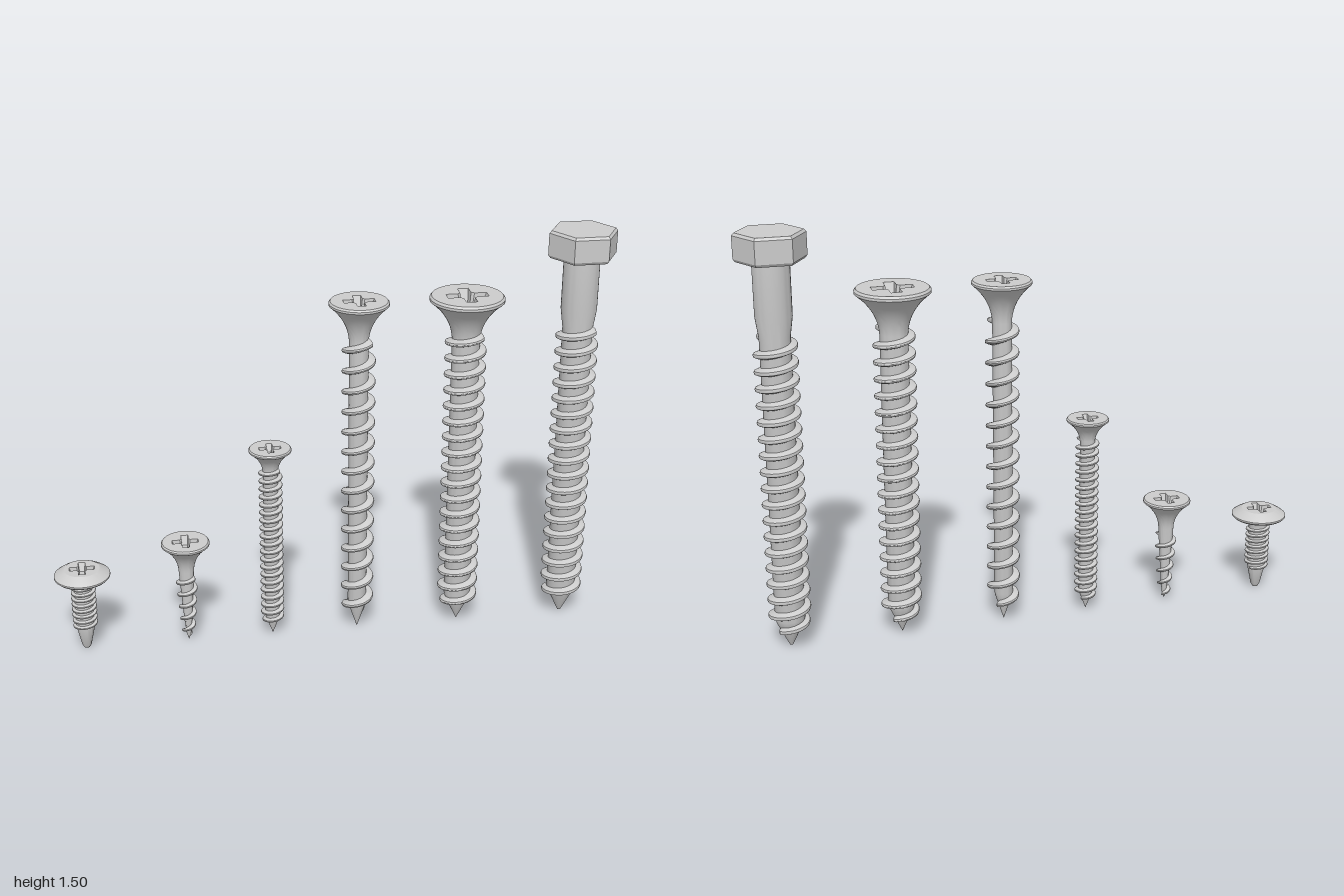
import * as THREE from 'three';
import { toCreasedNormals } from 'three/addons/utils/BufferGeometryUtils.js';

const material = new THREE.MeshStandardMaterial({ color: 0xcccccc });

function mesh(name, geometry, crease = 0.6) {
  const m = new THREE.Mesh(toCreasedNormals(geometry, crease), material);
  m.name = name;
  return m;
}

const lathe = (pts, segments = 36, start = 0) =>
  new THREE.LatheGeometry(pts.map(([r, y]) => new THREE.Vector2(r, y)), segments, start);

// Skin joining successive rows of points
function loft(rows) {
  const n = rows[0].length, index = [];
  for (let i = 0; i < rows.length - 1; i++) {
    for (let j = 0; j < n - 1; j++) {
      const a = i * n + j, b = a + 1, d = a + n, c = d + 1;
      index.push(a, b, d, b, c, d);
    }
  }
  const g = new THREE.BufferGeometry();
  g.setAttribute('position', new THREE.Float32BufferAttribute(rows.flat(2), 3));
  g.setIndex(index);
  g.computeVertexNormals();
  return g;
}

// Radius of a bottom-to-top [r, y] profile at height y
function radiusAt(profile, y) {
  for (let i = 1; i < profile.length; i++) {
    const [r0, y0] = profile[i - 1], [r1, y1] = profile[i];
    if (y <= y1 && y1 > y0) return r0 + (r1 - r0) * Math.max(0, (y - y0) / (y1 - y0));
  }
  return profile[profile.length - 1][0];
}

// Right-handed helical ridge that follows the shank and sinks into it at both ends
function thread(profile, { from, to, turns, depth, width }) {
  const rows = [], steps = Math.round(turns * 32);
  for (let i = 0; i <= steps; i++) {
    const t = (i / 32) * 2 * Math.PI;
    const yc = from + ((to - from) * i) / steps;
    const fade = Math.min(1, Math.min(i, steps - i) / 4);
    const root = radiusAt(profile, yc);
    const row = [];
    for (const [out, up] of [[-0.3, 1], [0.55, 0.62], [0.93, 0.35], [1, 0], [0.93, -0.35], [0.55, -0.62], [-0.3, -1]]) {
      const r = Math.max(0.001, root + depth * (out * fade - 0.3 * (1 - fade)));
      row.push([r * Math.cos(t), yc + (up * width) / 2, -r * Math.sin(t)]);
    }
    rows.push(row);
  }
  return loft(rows);
}

// Cross outline with softened inner corners
function crossPoints(arm) {
  const w = arm * 0.27, c = arm * 0.14, pts = [];
  for (let q = 0; q < 4; q++) {
    for (const [x, y] of [[arm, -w], [arm, w], [w + c, w], [w, w + c]]) {
      pts.push(new THREE.Vector2(x, y).rotateAround(new THREE.Vector2(), (q * Math.PI) / 2));
    }
  }
  return pts;
}

// Flat head top with a tapered cross-shaped socket
function crossTop(radius, y, arm, depth) {
  const group = new THREE.Group();
  group.name = 'headTop';
  const outline = crossPoints(arm), taper = 0.72;
  const disc = new THREE.Shape().absarc(0, 0, radius, 0, Math.PI * 2);
  disc.holes.push(new THREE.Path(outline));
  const face = new THREE.ShapeGeometry(disc, 18).rotateX(-Math.PI / 2).translate(0, y, 0);
  const ring = (s, h) => [...outline, outline[0]].map((p) => [p.x * s, h, -p.y * s]);
  const floor = new THREE.ShapeGeometry(new THREE.Shape(outline))
    .scale(taper, taper, 1).rotateX(-Math.PI / 2).translate(0, y - depth, 0);
  group.add(
    mesh('topFace', face),
    mesh('socketWalls', loft([ring(1, y), ring(taper, y - depth)]), 0.3),
    mesh('socketFloor', floor)
  );
  return group;
}

// Trumpet-shaped underside from the neck up to the rim
function flare(neckR, neckY, rimR, rimY) {
  const curve = new THREE.QuadraticBezierCurve(
    new THREE.Vector2(neckR, neckY),
    new THREE.Vector2(neckR * 1.1, neckY + (rimY - neckY) * 0.58),
    new THREE.Vector2(rimR, rimY)
  );
  return curve.getPoints(10).map((p) => [p.x, p.y]);
}

function screw(name, x, profile, threadSpec) {
  const group = new THREE.Group();
  group.name = name;
  group.position.x = x;
  group.add(mesh('shank', lathe(profile)), mesh('thread', thread(profile, threadSpec)));
  return group;
}

// Countersunk screw: shank points from the tip up to the neck, then flared head
function countersunk(name, x, shank, headR, top, arm, threadSpec) {
  const rim = top - headR * 0.13;
  const [neckR, neckY] = shank[shank.length - 1];
  const profile = [...shank.slice(0, -1), ...flare(neckR, neckY, headR, rim),
    [headR, top - headR * 0.06], [headR * 0.95, top]];
  const group = screw(name, x, profile, threadSpec);
  group.add(crossTop(headR * 0.95, top, arm, arm * 0.7));
  return group;
}

export function createModel() {
  const model = new THREE.Group();
  model.name = 'screwSet';

  // Short screw with a wide low head and blunt tip
  const pan = screw('panHeadScrew', -0.9,
    [[0, 0], [0.01, 0.003], [0.017, 0.015], [0.03, 0.075], [0.034, 0.1], [0.034, 0.25],
      [0.037, 0.275], [0.045, 0.291], [0.094, 0.291], [0.1, 0.297], [0.1, 0.303], [0.085, 0.314], [0.064, 0.326]],
    { from: 0.085, to: 0.262, turns: 8, depth: 0.011, width: 0.014 });
  pan.add(crossTop(0.064, 0.326, 0.045, 0.03));
  model.add(pan);

  // Countersunk screws
  model.add(
    countersunk('smallTaperedScrew', -0.528,
      [[0, 0], [0.008, 0.025], [0.014, 0.08], [0.025, 0.24], [0.028, 0.29]], 0.087, 0.405, 0.047,
      { from: 0.015, to: 0.265, turns: 5, depth: 0.015, width: 0.018 }),
    countersunk('mediumScrew', -0.217,
      [[0, 0], [0.024, 0.065], [0.027, 0.08], [0.027, 0.66]], 0.076, 0.75, 0.039,
      { from: 0.045, to: 0.67, turns: 20, depth: 0.016, width: 0.017 }),
    countersunk('longScrew', 0.098,
      [[0, 0], [0.028, 0.085], [0.034, 0.11], [0.034, 1.13]], 0.105, 1.28, 0.055,
      { from: 0.06, to: 1.14, turns: 14, depth: 0.026, width: 0.032 }),
    countersunk('thickScrew', 0.477,
      [[0, 0], [0.042, 0.09], [0.049, 0.115], [0.049, 1.12]], 0.131, 1.28, 0.072,
      { from: 0.055, to: 1.14, turns: 18, depth: 0.025, width: 0.032 })
  );

  // Hex-head lag screw with a plain upper shank
  const lag = screw('hexHeadScrew', 0.878,
    [[0, 0], [0.006, 0.003], [0.047, 0.09], [0.053, 0.11], [0.053, 1.14], [0.063, 1.21], [0.063, 1.405]],
    { from: 0.065, to: 1.14, turns: 18, depth: 0.023, width: 0.034 });
  lag.add(mesh('hexHead', lathe(
    [[0, 1.4], [0.114, 1.4], [0.122, 1.41], [0.122, 1.488], [0.114, 1.497], [0, 1.498]], 6, Math.PI / 2), 0.3));
  model.add(lag);

  return model;
}
